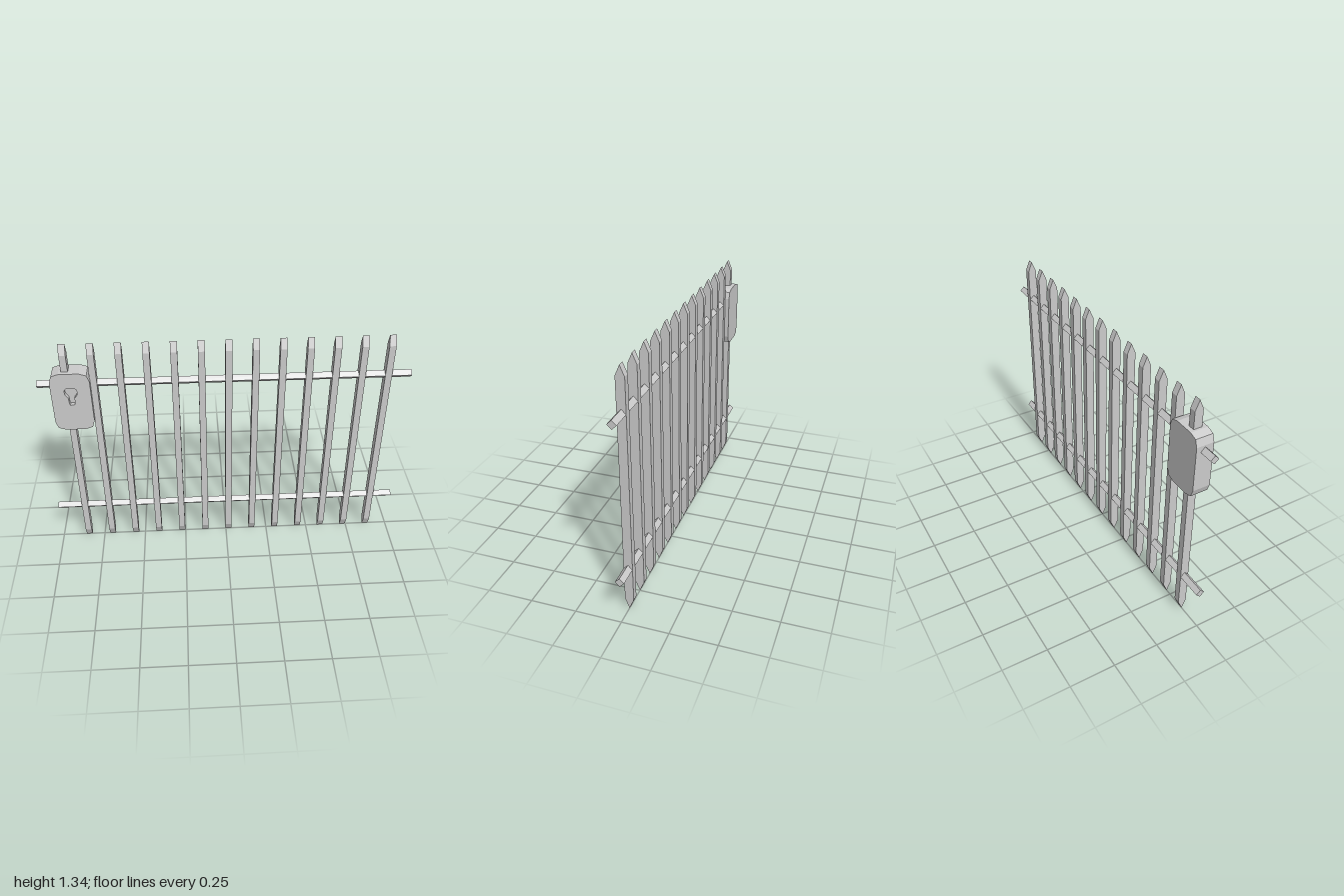
import * as THREE from 'three';

const material = new THREE.MeshStandardMaterial({ color: 0xcccccc, flatShading: true });

function part(name, geometry, x = 0, y = 0, z = 0) {
  const mesh = new THREE.Mesh(geometry, material);
  mesh.name = name;
  mesh.position.set(x, y, z);
  return mesh;
}

const extrude = (shape, depth) =>
  new THREE.ExtrudeGeometry(shape, { depth, bevelEnabled: false, curveSegments: 2 });

const polygon = (points, Type = THREE.Shape) =>
  new Type(points.map(([x, y]) => new THREE.Vector2(x, y)));

// Rectangle with curved corners, centred on the origin
function roundedPlate(w, h, r) {
  const x = w / 2, y = h / 2;
  const s = new THREE.Shape();
  s.moveTo(-x + r, -y);
  s.lineTo(x - r, -y);
  s.quadraticCurveTo(x, -y, x, -y + r);
  s.lineTo(x, y - r);
  s.quadraticCurveTo(x, y, x - r, y);
  s.lineTo(-x + r, y);
  s.quadraticCurveTo(-x, y, -x, y - r);
  s.lineTo(-x, -y + r);
  s.quadraticCurveTo(-x, -y, -x + r, -y);
  return s;
}

export function createModel() {
  const group = new THREE.Group();

  // Upright bars, wedge-pointed at both ends
  const halfDepth = 0.0235, height = 1.342, tip = 0.055, barWidth = 0.036;
  const barGeometry = extrude(polygon([
    [0, 0], [halfDepth, tip], [halfDepth, height - tip],
    [0, height], [-halfDepth, height - tip], [-halfDepth, tip],
  ]), barWidth);
  barGeometry.translate(0, 0, -barWidth / 2).rotateY(Math.PI / 2);
  const bars = new THREE.Group();
  bars.name = 'bars';
  for (let i = 0; i < 13; i++) bars.add(part('bar', barGeometry, -0.842 + i * 0.1429));
  group.add(bars);

  // Horizontal rails: square rods turned on edge
  const side = 0.0235 * Math.SQRT2;
  const railGeometry = new THREE.BoxGeometry(2, side, side).rotateX(Math.PI / 4);
  group.add(part('lowerRail', railGeometry, 0, 0.247, 0));
  group.add(part('upperRail', railGeometry, 0, 1.105, 0));

  // Lock case: solid back and a front plate pierced by the keyhole
  const lock = new THREE.Group();
  lock.name = 'lock';
  lock.position.set(-0.82, 1.0135, 0);
  const width = 0.21, tall = 0.353, corner = 0.052, front = 0.048, floor = 0.024;
  lock.add(part('lockBody', extrude(roundedPlate(width, tall, corner), front + floor), 0, 0, -front));

  const halfKeyhole = [
    [0.011, -0.017], [0.015, -0.004], [0.016, 0.026],
    [0.031, 0.046], [0.034, 0.064], [0.031, 0.08], [0.022, 0.087],
  ];
  const mirrored = halfKeyhole.map(([x, y]) => [-x, y]).reverse();
  const plate = roundedPlate(width, tall, corner);
  plate.holes.push(polygon([...halfKeyhole, ...mirrored], THREE.Path));
  lock.add(part('keyholePlate', extrude(plate, front - floor), 0, 0, floor));
  group.add(lock);

  return group;
}
